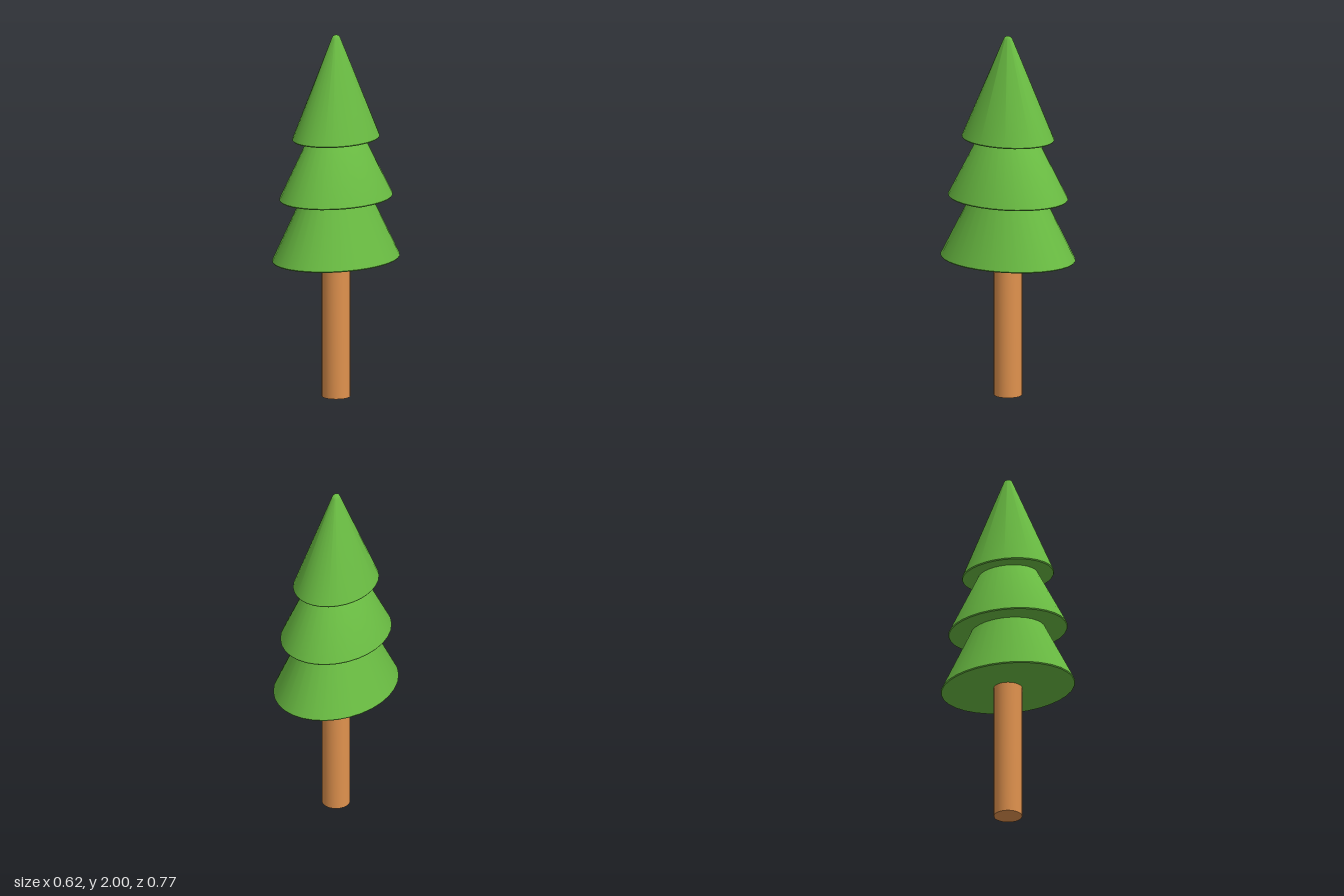
import * as THREE from 'three';
import { toCreasedNormals } from 'three/addons/utils/BufferGeometryUtils.js';

const SEGMENTS = 32;

// Revolve [radius, y] points, listed from bottom to top, with crisp rims
function revolve(points, squash, material, name) {
  const profile = points.map(([r, y]) => new THREE.Vector2(r, y));
  const geometry = new THREE.LatheGeometry(profile, SEGMENTS);
  geometry.scale(squash, 1, 1);
  const mesh = new THREE.Mesh(toCreasedNormals(geometry, Math.PI / 5), material);
  mesh.name = name;
  return mesh;
}

// Oval cone of foliage: flat underside, thin rim, sloping side, closed top
function foliage(name, base, radius, top, topRadius, material) {
  return revolve([
    [0, base],
    [radius - 0.004, base],
    [radius, base + 0.006],
    [topRadius, top - 0.018],
    [topRadius * 0.75, top - 0.006],
    [topRadius * 0.4, top - 0.001],
    [0, top],
  ], 0.8, material, name);
}

export function createModel() {
  const tree = new THREE.Group();
  tree.name = 'tree';
  const bark = new THREE.MeshStandardMaterial({ color: 0xe0924e });
  const leaves = new THREE.MeshStandardMaterial({ color: 0x69bb42 });

  // Round trunk, ending just inside the lowest tier
  tree.add(revolve([[0, 0], [0.077, 0], [0.077, 0.8], [0, 0.8]], 1, bark, 'trunk'));

  // Three tiers, each lower one running up inside the next
  tree.add(
    foliage('lowerFoliage', 0.762, 0.385, 1.25, 0.145, leaves),
    foliage('middleFoliage', 1.1, 0.342, 1.6, 0.09, leaves),
    foliage('upperFoliage', 1.428, 0.264, 2, 0.027, leaves),
  );
  return tree;
}
